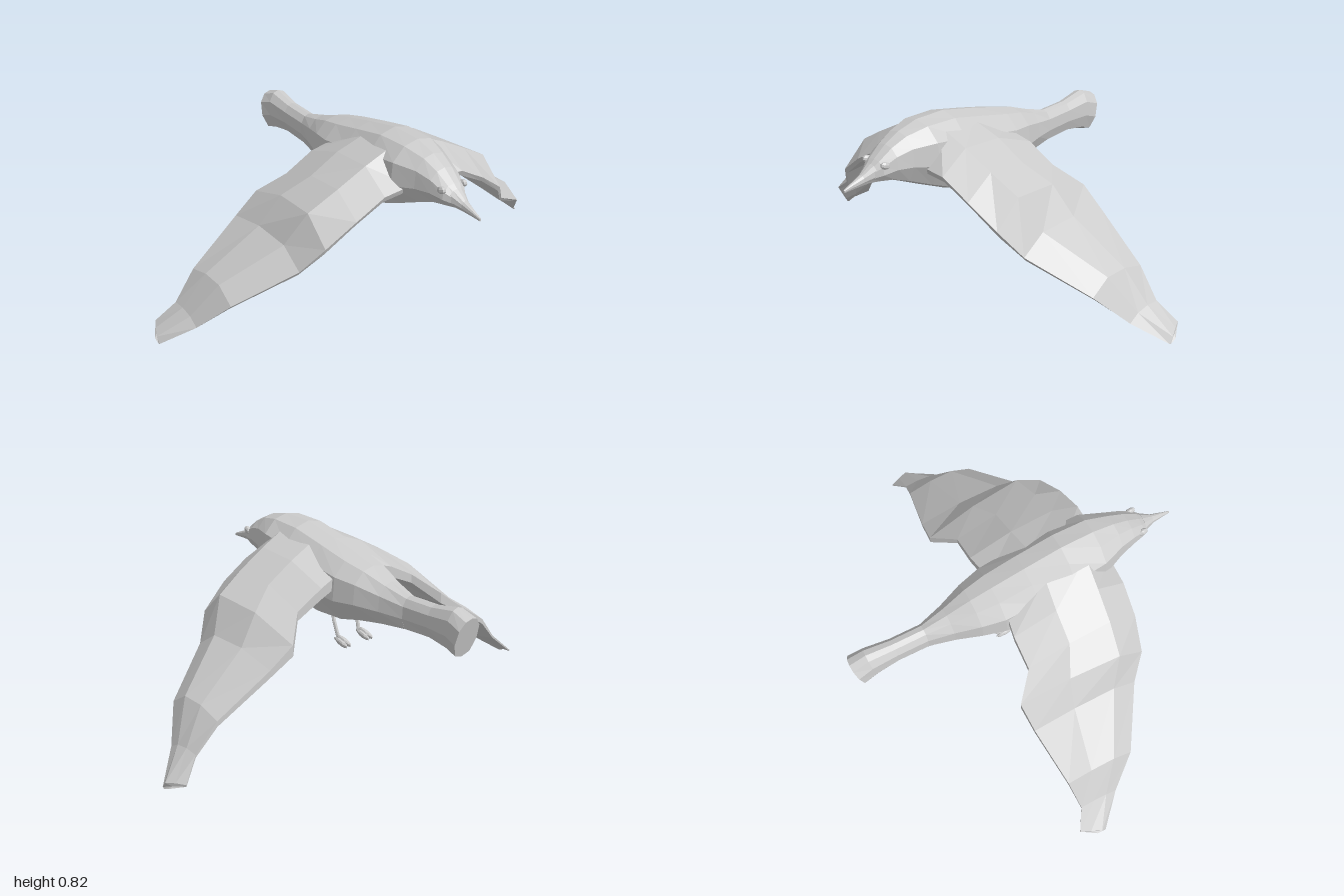
import * as THREE from 'three';

const material = new THREE.MeshStandardMaterial({ color: 0xcccccc, flatShading: true });

// Skins a series of equal-sized rings and closes both ends
function loft(name, rings) {
  const pos = [];
  const tri = (...pts) => pts.forEach((p) => pos.push(...p));
  const n = rings[0].length;
  const centre = (ring) => [0, 1, 2].map((k) => ring.reduce((s, p) => s + p[k], 0) / n);
  const first = rings[0], last = rings[rings.length - 1];
  const c0 = centre(first), c1 = centre(last);
  for (let i = 0; i < n; i++) {
    const j = (i + 1) % n;
    for (let r = 0; r < rings.length - 1; r++) {
      const a = rings[r], b = rings[r + 1];
      tri(a[i], a[j], b[j]);
      tri(a[i], b[j], b[i]);
    }
    tri(first[j], first[i], c0);
    tri(last[i], last[j], c1);
  }
  const geometry = new THREE.BufferGeometry();
  geometry.setAttribute('position', new THREE.Float32BufferAttribute(pos, 3));
  geometry.computeVertexNormals();
  const mesh = new THREE.Mesh(geometry, material);
  mesh.name = name;
  return mesh;
}

// Faceted body outline: [across, up] as fractions of half width and height
const half = [[0.5, 0.95], [0.92, 0.75], [1, 0.4], [0.66, 0.08]];
const outline = [[0, 1], ...half, [0, 0], ...half.map(([x, y]) => [-x, y]).reverse()];

// Section: z, top, bottom, half width, backward lean of the top
const bodyRing = ([z, top, bottom, w, lean = 0]) =>
  outline.map(([x, y]) => [x * w, bottom + (top - bottom) * y, z - lean * y]);

function makeBody() {
  return loft('body', [
    [0.64, 0.685, 0.63, 0.028],
    [0.6, 0.72, 0.628, 0.058],
    [0.54, 0.765, 0.615, 0.075],
    [0.47, 0.8, 0.585, 0.095],
    [0.37, 0.825, 0.54, 0.135],
    [0.22, 0.825, 0.475, 0.145],
    [0.05, 0.79, 0.45, 0.145],
    [-0.1, 0.755, 0.46, 0.14],
    [-0.2, 0.73, 0.485, 0.115],
    [-0.31, 0.69, 0.5, 0.075],
    [-0.42, 0.66, 0.51, 0.045],
  ].map(bodyRing));
}

function makeTail() {
  return loft('tail', [
    [-0.41, 0.66, 0.51, 0.045],
    [-0.56, 0.665, 0.52, 0.045],
    [-0.66, 0.69, 0.505, 0.055, 0.02],
    [-0.71, 0.665, 0.49, 0.063, 0.045],
  ].map(bodyRing));
}

function makeBeak() {
  return loft('beak', [
    [0.62, 0.705, 0.632, 0.04],
    [0.67, 0.672, 0.628, 0.019],
    [0.72, 0.652, 0.625, 0.01],
    [0.76, 0.635, 0.622, 0.004],
  ].reverse().map(bodyRing));
}

// Stations: x, leading z y, ridge z y, trailing z y, thickness, inward shift of the trailing edge
const wingStations = [
  [0.07, 0.42, 0.63, 0.3, 0.79, -0.08, 0.69, 0.13, 0],
  [0.2, 0.42, 0.62, 0.29, 0.73, -0.1, 0.65, 0.12, 0],
  [0.33, 0.41, 0.55, 0.28, 0.66, -0.1, 0.58, 0.1, 0],
  [0.46, 0.38, 0.45, 0.26, 0.585, -0.19, 0.49, 0.12, 0.03],
  [0.54, 0.31, 0.35, 0.2, 0.44, -0.18, 0.41, 0.08, 0],
  [0.78, 0.17, 0.21, 0.08, 0.28, -0.14, 0.25, 0.06, 0],
  [0.88, 0.05, 0.09, 0.0, 0.125, -0.125, 0.13, 0.03, 0],
  [1.0, -0.06, 0.0, -0.08, 0.03, -0.17, 0.045, 0.018, 0.04],
];

function makeWing(side) {
  const rings = wingStations.map(([x, zl, yl, zr, yr, zt, yt, t, back]) => {
    const ring = [
      [x - back, yt, zt],
      [x - back / 2, (yr + yt) / 2 + t * 0.25, (zr + zt) / 2],
      [x, yr, zr],
      [x, yl + t * 0.2, zl],
      [x, yl, zl - 0.01],
      [x, yr - t, zr - 0.02],
      [x - back, yt - t * 0.4, zt],
    ].map(([px, py, pz]) => [px * side, py, pz]);
    return side > 0 ? ring : ring.reverse();
  });
  return loft(side > 0 ? 'leftWing' : 'rightWing', rings);
}

// Faceted blob, scaled and placed
function blob(name, size, place, tilt = 0) {
  const mesh = new THREE.Mesh(new THREE.SphereGeometry(1, 7, 5), material);
  mesh.name = name;
  mesh.scale.set(...size);
  mesh.position.set(...place);
  mesh.rotation.x = tilt;
  return mesh;
}

function makeLeg(side) {
  const leg = new THREE.Group();
  leg.name = side > 0 ? 'leftLeg' : 'rightLeg';
  const path = new THREE.CatmullRomCurve3([
    new THREE.Vector3(0.05 * side, 0.5, 0.0),
    new THREE.Vector3(0.065 * side, 0.46, -0.02),
    new THREE.Vector3(0.06 * side, 0.375, -0.045),
  ]);
  const shin = new THREE.Mesh(new THREE.TubeGeometry(path, 4, 0.009, 6), material);
  shin.name = 'shin';
  leg.add(shin);
  // Folded toes trailing back
  for (const k of [-1, 0, 1]) {
    leg.add(blob('toe', [0.011, 0.014, 0.045], [0.064 * side + k * 0.011, 0.362 + (k ? 0 : 0.008), -0.08], -0.25));
  }
  return leg;
}

export function createModel() {
  const bird = new THREE.Group();
  bird.name = 'flyingBird';
  bird.add(makeBody(), makeTail(), makeBeak());
  for (const side of [1, -1]) {
    bird.add(makeWing(side), makeLeg(side));
    bird.add(blob(side > 0 ? 'leftEye' : 'rightEye', [0.014, 0.016, 0.025], [0.054 * side, 0.702, 0.59], -0.3));
  }
  return bird;
}
